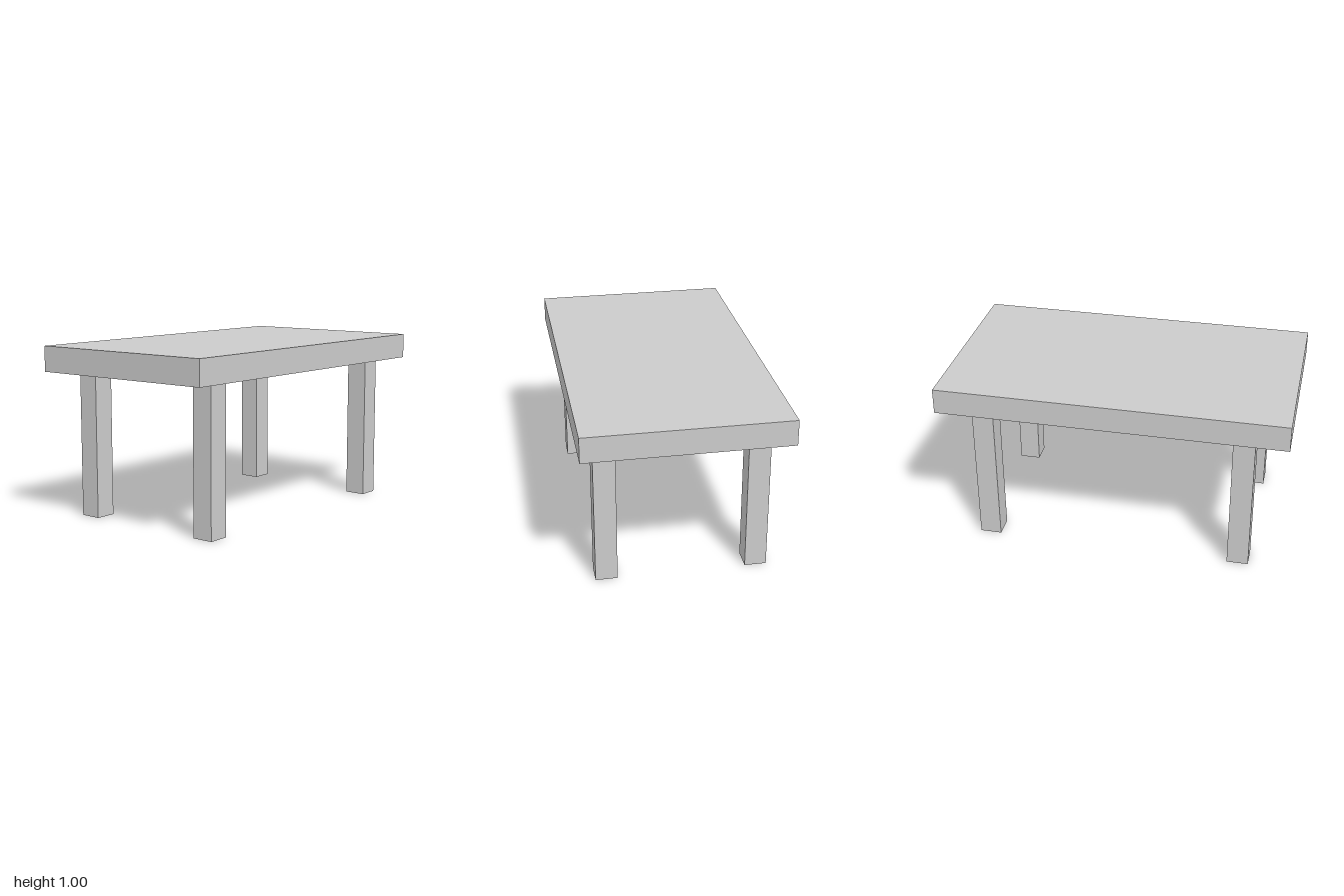
import * as THREE from 'three';

const TOP_Y = 1, UNDERSIDE_Y = 0.853;
const LEG_WIDTH = 0.124, LEG_X = 0.748, LEG_Z = 0.427;

export function createModel() {
  const table = new THREE.Group();
  table.name = 'table';

  // Thick rectangular top
  const thickness = TOP_Y - UNDERSIDE_Y;
  const top = new THREE.Mesh(
    new THREE.BoxGeometry(2, thickness, 1.15),
    new THREE.MeshStandardMaterial({ color: 0xcccccc, flatShading: true })
  );
  top.name = 'tableTop';
  top.position.y = TOP_Y - thickness / 2;
  table.add(top);

  // Square tube legs, open at the foot
  const legGeometry = new THREE.CylinderGeometry(
    LEG_WIDTH / Math.SQRT2, LEG_WIDTH / Math.SQRT2, UNDERSIDE_Y, 4, 1, true
  ).rotateY(Math.PI / 4).toNonIndexed();
  legGeometry.computeVertexNormals();
  const legMaterial = new THREE.MeshStandardMaterial({
    color: 0xcccccc, flatShading: true, side: THREE.DoubleSide
  });
  for (const [sx, side] of [[1, 'Left'], [-1, 'Right']]) {
    for (const [sz, end] of [[1, 'front'], [-1, 'back']]) {
      const leg = new THREE.Mesh(legGeometry, legMaterial);
      leg.name = `${end}${side}Leg`;
      leg.position.set(sx * LEG_X, UNDERSIDE_Y / 2, sz * LEG_Z);
      table.add(leg);
    }
  }
  return table;
}
